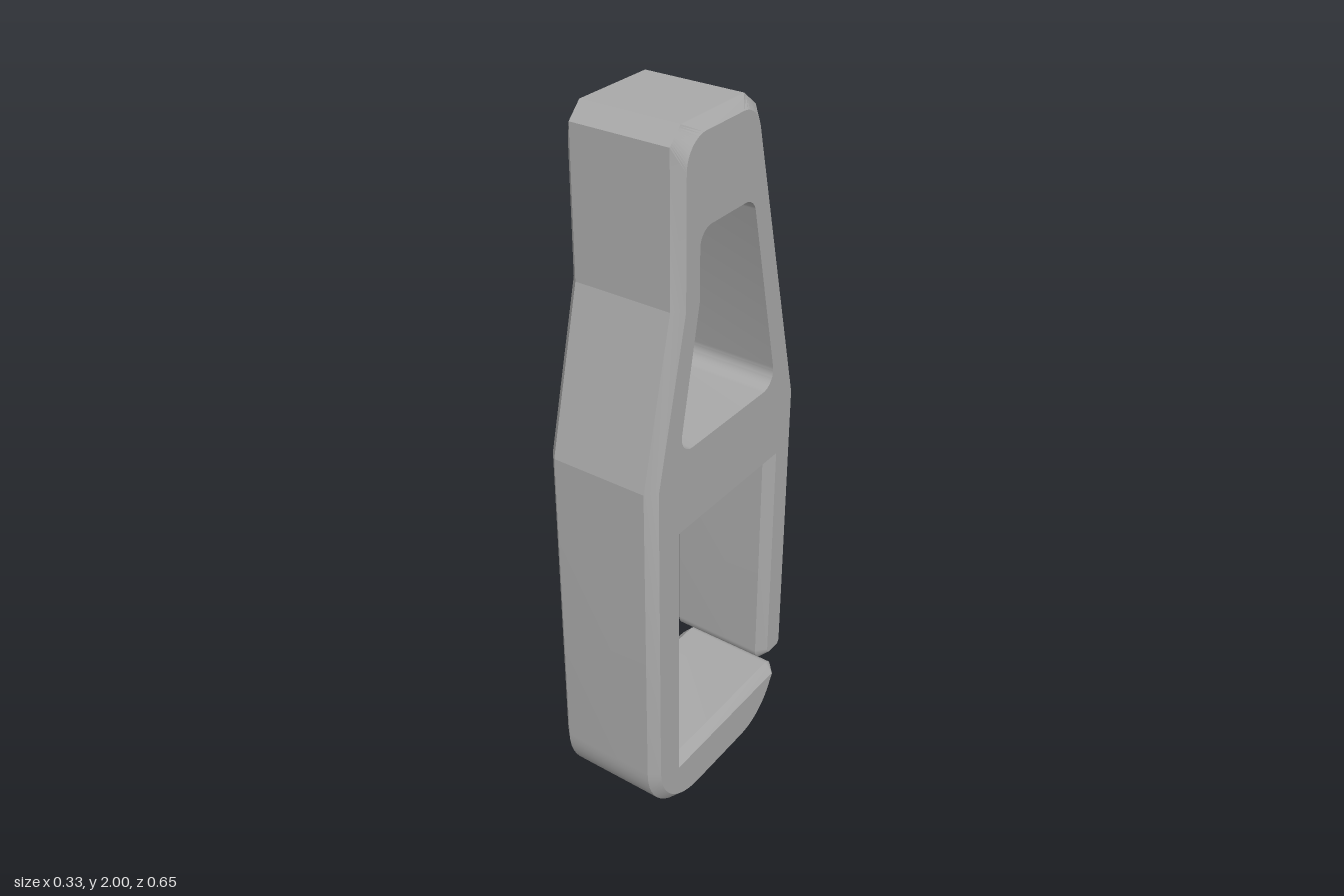
import * as THREE from 'three';
import { toCreasedNormals } from 'three/addons/utils/BufferGeometryUtils.js';

const HALF = 0.163; // half thickness along x
const BEVEL = 0.026;
const SEG = 12;

// Profile points are Vector2(u, y) with u = -z; a counterclockwise face looks towards +x.
const V = (u, y) => new THREE.Vector2(u, y);

// Outline corners: [u, y, fillet radius, bevel on the edge that follows, straight cut length]
const OUTLINE = [
  [-0.325, 0.003, 0.2, 1],
  [0.215, 0.003, 0.19, 1],
  [0.318, 0.18, 0.027, 1],
  [-0.215, 0.18, 0, 0],
  [-0.215, 0.963, 0, 0],
  [0.21, 0.963, 0, 1],
  [0.21, 0.228, 0.042, 1],
  [0.325, 0.228, 0.042, 1],
  [0.325, 1.13, 0, 1],
  [0.109, 2.0, 0.1, 1, 0.04],
  [-0.215, 2.0, 0.1, 1, 0.04],
  [-0.215, 1.57, 0, 1],
  [-0.325, 1.13, 0, 1],
];

// Clockwise triangular window
const WINDOW = [
  [-0.135, 1.75, 0.045], [0.085, 1.75, 0.045], [0.214, 1.19, 0.045],
  [-0.215, 1.19, 0.045], [-0.135, 1.57, 0],
];

// Replace each corner by an arc, a straight cut or a single point
function roundCorners(points, radii, cuts = []) {
  return points.flatMap((p, i) => {
    const n = points.length;
    const a = points[(i + n - 1) % n].clone().sub(p).normalize();
    const b = points[(i + 1) % n].clone().sub(p).normalize();
    const r = radii[i];
    if (!r) return [p];
    const half = Math.acos(a.dot(b)) / 2;
    const t = cuts[i] || r / Math.tan(half);
    const start = p.clone().addScaledVector(a, t);
    const end = p.clone().addScaledVector(b, t);
    const centre = p.clone().addScaledVector(a.clone().add(b).normalize(), r / Math.sin(half));
    const a0 = Math.atan2(start.y - centre.y, start.x - centre.x);
    let sweep = Math.atan2(end.y - centre.y, end.x - centre.x) - a0;
    sweep = Math.atan2(Math.sin(sweep), Math.cos(sweep));
    return Array.from({ length: SEG + 1 }, (_, k) => {
      const f = k / SEG;
      if (cuts[i]) return start.clone().lerp(end, f);
      return V(centre.x + r * Math.cos(a0 + sweep * f), centre.y + r * Math.sin(a0 + sweep * f));
    });
  });
}

// Move every bevelled edge inwards and intersect neighbouring edges
function insetCorners(points, bevels) {
  const n = points.length;
  const edges = points.map((p, i) => {
    const d = points[(i + 1) % n].clone().sub(p).normalize();
    return { d, o: p.clone().addScaledVector(V(-d.y, d.x), bevels[i] * BEVEL) };
  });
  return points.map((_, i) => {
    const e = edges[(i + n - 1) % n], f = edges[i];
    const s = f.o.clone().sub(e.o).cross(f.d) / e.d.cross(f.d);
    return e.o.clone().addScaledVector(e.d, s);
  });
}

function circle(u, y, r) {
  return Array.from({ length: 40 }, (_, i) => {
    const t = -i / 40 * Math.PI * 2;
    return V(u + r * Math.cos(t), y + r * Math.sin(t));
  });
}

// Collects triangles from strips between rings and flat caps
class Surface {
  constructor() { this.pos = []; }
  vert(p, x) { this.pos.push(x, p.y, -p.x); }
  strip(ringA, xa, ringB, xb) {
    ringA.forEach((a, i) => {
      const j = (i + 1) % ringA.length;
      const b = ringA[j], c = ringB[j], d = ringB[i];
      for (const [p, x] of [[a, xa], [b, xa], [c, xb], [a, xa], [c, xb], [d, xb]]) this.vert(p, x);
    });
  }
  cap(outline, holes, x, facing) {
    const all = [...outline, ...holes.flat()];
    for (const t of THREE.ShapeUtils.triangulateShape([...outline], holes.map((h) => [...h]))) {
      const [a, b, c] = t.map((i) => all[i]);
      const area = b.clone().sub(a).cross(c.clone().sub(a));
      const order = area * facing > 0 ? [a, b, c] : [a, c, b];
      order.forEach((p) => this.vert(p, x));
    }
  }
  mesh(name, material) {
    const g = new THREE.BufferGeometry();
    g.setAttribute('position', new THREE.Float32BufferAttribute(this.pos, 3));
    const m = new THREE.Mesh(toCreasedNormals(g, 0.2), material);
    m.name = name;
    return m;
  }
}

export function createModel() {
  const group = new THREE.Group();
  group.name = 'hookClip';
  const grey = new THREE.MeshStandardMaterial({ color: 0xa8a8a8 });
  grey.name = 'grey';

  const sharp = OUTLINE.map(([u, y]) => V(u, y));
  const radii = OUTLINE.map((c) => c[2]);
  const cuts = OUTLINE.map((c) => c[4]);
  const outer = roundCorners(sharp, radii, cuts);
  const inner = roundCorners(
    insetCorners(sharp, OUTLINE.map((c) => c[3])),
    radii.map((r) => (r ? Math.max(r - BEVEL, 0.003) : 0)),
  );
  const opening = roundCorners(WINDOW.map(([u, y]) => V(u, y)), WINDOW.map((c) => c[2]));
  const recesses = [[0.02, 1.075], [0.02, 0.094]];

  // Clip body: side walls, bevels, window walls and the two flat faces
  const side = HALF - BEVEL;
  const body = new Surface();
  body.strip(inner, -HALF, outer, -side);
  body.strip(outer, -side, outer, side);
  body.strip(outer, side, inner, HALF);
  body.strip(opening, -HALF, opening, HALF);
  body.cap(inner, [opening], HALF, 1);
  body.cap(inner, [opening, ...recesses.map(([u, y]) => circle(u, y, 0.058))], -HALF, -1);
  group.add(body.mesh('clipBody', grey));

  // Countersunk blind holes on one face
  recesses.forEach(([u, y], i) => {
    const hole = new Surface();
    const wide = circle(u, y, 0.058), narrow = circle(u, y, 0.034);
    hole.strip(wide, -HALF, narrow, -HALF + 0.03);
    hole.strip(narrow, -HALF + 0.03, narrow, -HALF + 0.12);
    hole.cap(narrow, [], -HALF + 0.12, -1);
    group.add(hole.mesh(i ? 'lowerScrewHole' : 'upperScrewHole', grey));
  });
  return group;
}
